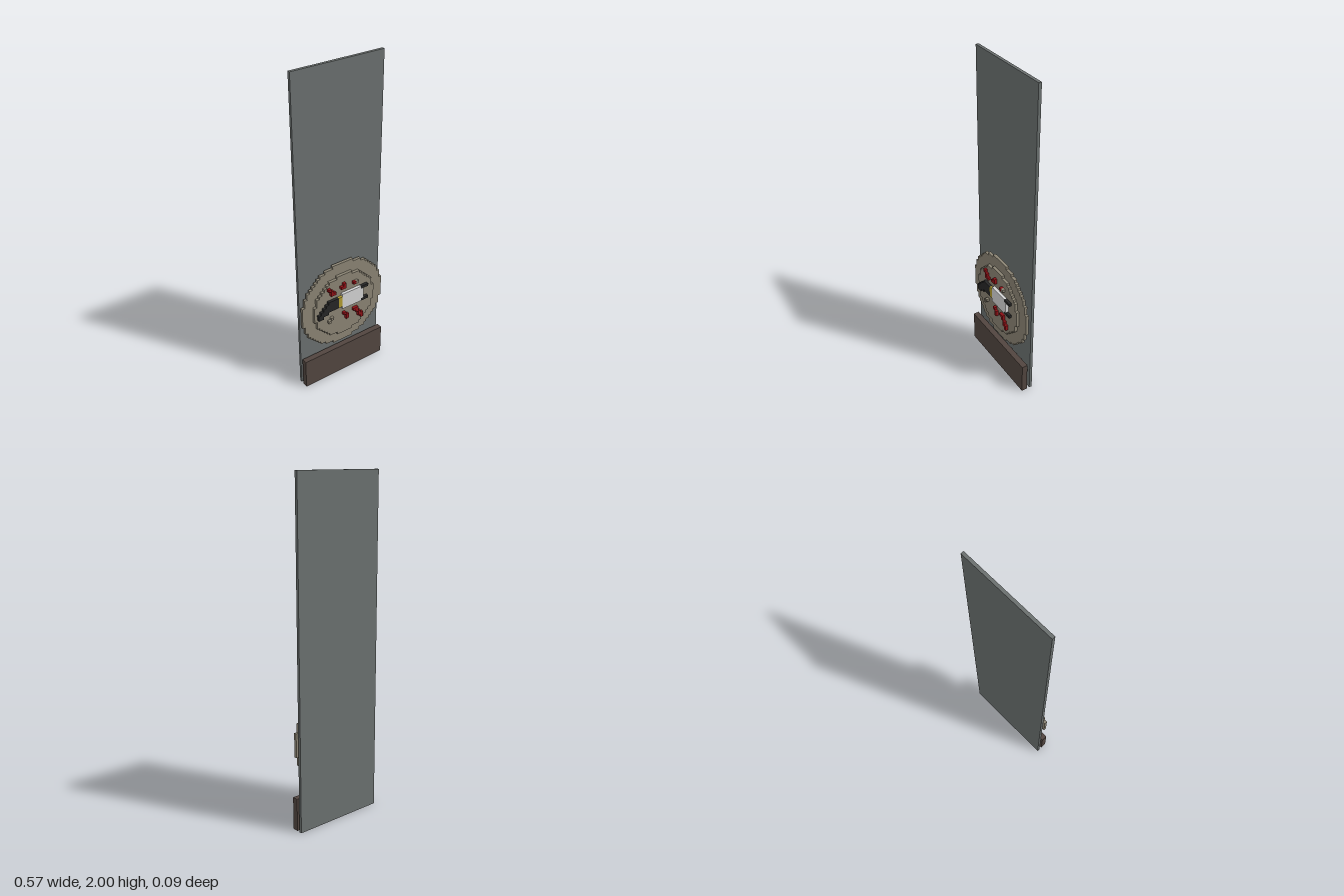
import * as THREE from 'three';

const U = 2 / 112; // one block

const mat = (name, color) => {
  const m = new THREE.MeshStandardMaterial({ color });
  m.name = name;
  return m;
};

export function createModel() {
  const model = new THREE.Group();
  model.name = 'panelWithRoundBadge';
  const slate = mat('slate grey', 0x6a6f6e);
  const stone = mat('stone', 0x8a8373);
  const brown = mat('dark brown', 0x51453f);
  const black = mat('black', 0x262626);
  const white = mat('white', 0xd2d2d2);
  const gold = mat('gold', 0xb09a30);
  const red = mat('red', 0x8e1116);

  // Box given by its limits in blocks
  function block(parent, name, material, x0, x1, y0, y1, z0, z1) {
    const mesh = new THREE.Mesh(
      new THREE.BoxGeometry((x1 - x0) * U, (y1 - y0) * U, (z1 - z0) * U), material);
    mesh.position.set((x0 + x1) / 2 * U, (y0 + y1) / 2 * U, (z0 + z1) / 2 * U);
    mesh.name = name;
    parent.add(mesh);
  }

  // Disc with a stepped rim, outlined row by row
  function steppedDisc(name, radius, z0, z1) {
    const right = [], left = [];
    for (let j = -radius; j < radius; j++) {
      const half = Math.floor(Math.sqrt(radius ** 2 - (j + 0.5) ** 2) + 0.5);
      for (const y of [j, j + 1]) {
        right.push(new THREE.Vector2(half * U, y * U));
        left.unshift(new THREE.Vector2(-half * U, y * U));
      }
    }
    const geometry = new THREE.ExtrudeGeometry(new THREE.Shape([...right, ...left]),
      { depth: (z1 - z0) * U, bevelEnabled: false });
    const mesh = new THREE.Mesh(geometry, stone);
    mesh.position.set(0, 29 * U, z0 * U);
    mesh.name = name;
    model.add(mesh);
  }

  // Tall panel and low front board
  block(model, 'backPanel', slate, -16, 16, 0, 112, -2.5, -1.5);
  block(model, 'baseBoard', brown, -16, 16, 0, 11, -0.5, 1.5);

  // Round badge: thin rim and thick core
  steppedDisc('badgeRim', 16, -0.5, 0.5);
  steppedDisc('badgeCore', 12, -1.5, 1.5);

  // Emblem, one block deep; each row is x0, x1, y0, y1
  const emblem = new THREE.Group();
  emblem.name = 'emblem';
  model.add(emblem);
  const rows = (name, material, list) => {
    for (const r of list) block(emblem, name, material, ...r, 1.5, 2.5);
  };
  rows('handle', black, [
    [-7, -3, 32, 33], [-8, -3, 31, 32], [-9, -3, 30, 31],
    [-10, -3, 29, 30], [-11, -7, 28, 29], [-11, -9, 27, 28]]);
  rows('collar', gold, [[-3, -1.5, 29, 33]]);
  rows('body', white, [[-1.5, 7, 29, 33], [-1.5, 6, 33, 34], [-1.5, 6, 28, 29]]);
  rows('prong', black, [[6, 9, 33, 34], [6, 9, 28, 29]]);

  // Scattered marks around the emblem
  const marks = [
    [-7, 37], [-6, 36], [-6, 35], [-5, 35],
    [-2, 36], [-1, 37], [-1, 36], [3, 36],
    [-1, 25], [0, 24], [0, 23],
    [3, 25], [4, 25], [4, 24], [5, 23], [5, 22], [6, 22], [6, 21]];
  rows('redMark', red, marks.map(([x, y]) => [x, x + 1, y, y + 1]));
  rows('stoneMark', stone, [[-7, -6, 24, 25], [-6, -5, 25, 26], [4, 5, 36, 37]]);

  return model;
}
